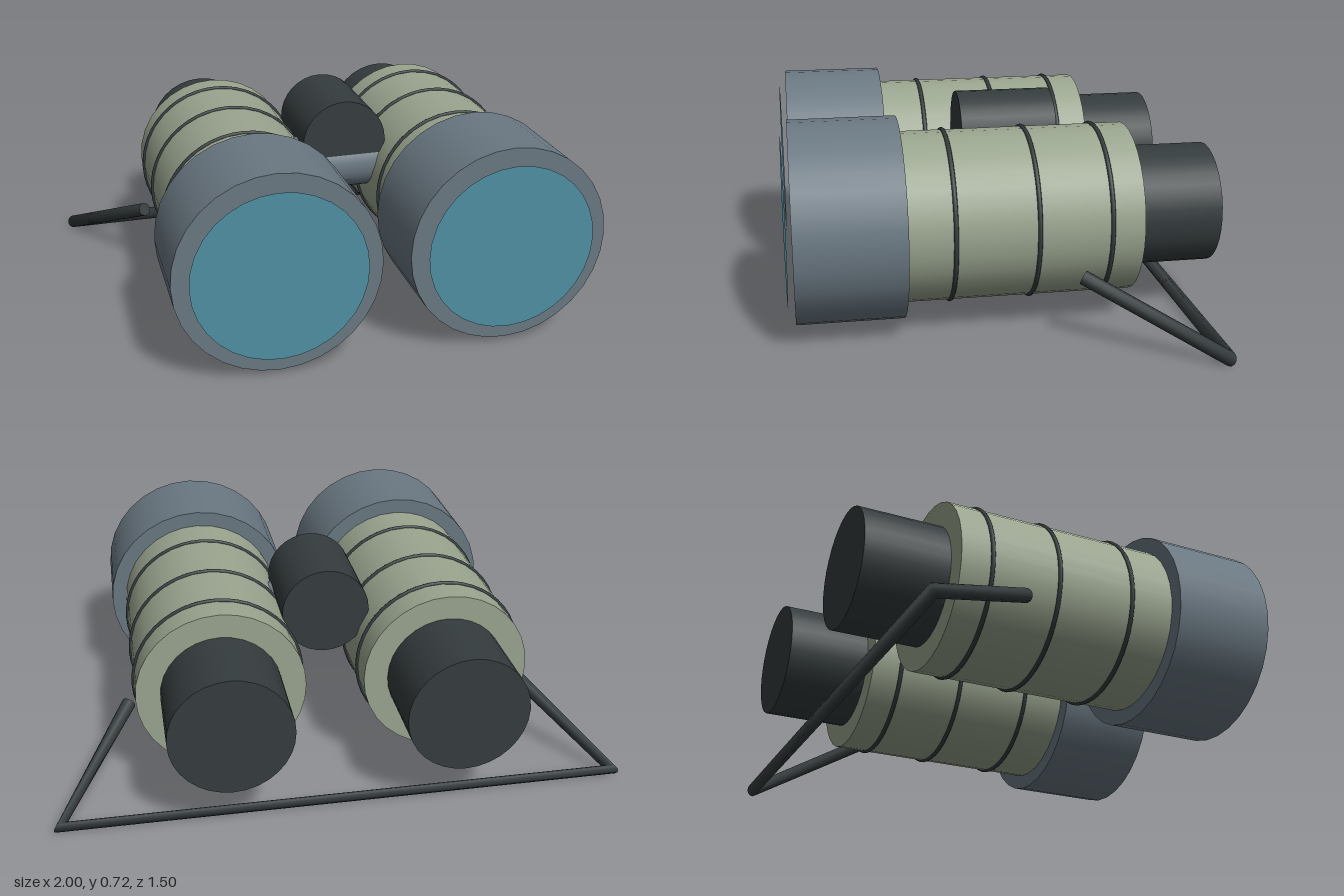
import * as THREE from 'three';

const material = (color, side = THREE.FrontSide) => new THREE.MeshStandardMaterial({ color, side });
const AXIS_Y = 0.37;

// Tube path whose samples sit exactly on the corner points, giving mitred bends
class MitredPath extends THREE.Curve {
  constructor(points) {
    super();
    this.points = points;
  }
  getPoint(t, target = new THREE.Vector3()) {
    return target.copy(this.points[Math.round(t * (this.points.length - 1))]);
  }
  getPointAt(t, target) {
    return this.getPoint(t, target);
  }
  getTangentAt(t, target = new THREE.Vector3()) {
    const p = this.points;
    const i = Math.round(t * (p.length - 1));
    const dir = (a, b) => p[b].clone().sub(p[a]).normalize();
    target.set(0, 0, 0);
    if (i > 0) target.add(dir(i - 1, i));
    if (i < p.length - 1) target.add(dir(i, i + 1));
    return target.normalize();
  }
}

function add(parent, name, geometry, mat, x = 0, y = 0, z = 0) {
  const mesh = new THREE.Mesh(geometry, mat);
  mesh.name = name;
  mesh.position.set(x, y, z);
  parent.add(mesh);
  return mesh;
}

// Closed cylinder lying along z, between z0 and z1
function cylinderZ(radius, z0, z1) {
  return new THREE.CylinderGeometry(radius, radius, z1 - z0, 32)
    .rotateX(Math.PI / 2)
    .translate(0, 0, (z0 + z1) / 2);
}

export function createModel() {
  const model = new THREE.Group();
  model.name = 'binoculars';
  const green = material(0x9aa58f);
  const slate = material(0x6a7882);
  const dark = material(0x353c3e);
  const glass = material(0x4f8fa3, THREE.DoubleSide);
  const strapMat = material(0x353c3e, THREE.DoubleSide);

  // Two matching optical tubes
  for (const side of [-1, 1]) {
    const tube = new THREE.Group();
    tube.name = side > 0 ? 'leftTube' : 'rightTube';
    tube.position.set(side * 0.4, AXIS_Y, 0);
    model.add(tube);

    add(tube, 'barrel', cylinderZ(0.297, -0.45, 0.36), green);
    add(tube, 'objectiveHousing', cylinderZ(0.352, 0.35, 0.72), slate);
    add(tube, 'eyepiece', cylinderZ(0.212, -0.75, -0.44), dark);
    add(tube, 'lens', new THREE.CircleGeometry(0.297, 32), glass, 0, 0, 0.745);
    for (const z of [0.19, -0.09, -0.338]) {
      add(tube, 'gripRing', new THREE.TorusGeometry(0.297, 0.008, 8, 48), dark, 0, 0, z);
    }
  }

  // Centre focus wheel and the round bridge beneath it
  add(model, 'focusWheel', cylinderZ(0.157, -0.264, 0.09), dark, 0, 0.555, 0);
  add(model, 'bridge', new THREE.CylinderGeometry(0.103, 0.103, 0.4, 32).rotateZ(Math.PI / 2),
    slate, 0, 0.453, 0);

  // Neck strap: two arms sloping down to a straight rear bar
  const points = [
    new THREE.Vector3(-0.72, 0.232, -0.233),
    new THREE.Vector3(-0.98, 0.025, -0.66),
    new THREE.Vector3(0.98, 0.025, -0.66),
    new THREE.Vector3(0.72, 0.232, -0.233),
  ];
  const strap = new THREE.Group();
  strap.name = 'strap';
  model.add(strap);
  add(strap, 'strapCord', new THREE.TubeGeometry(new MitredPath(points), 3, 0.025, 12), strapMat);
  for (const [end, inner] of [[0, 1], [3, 2]]) {
    const cap = add(strap, 'strapEnd', new THREE.CircleGeometry(0.025, 12), strapMat, ...points[end].toArray());
    cap.lookAt(points[end].clone().multiplyScalar(2).sub(points[inner]));
  }

  return model;
}
